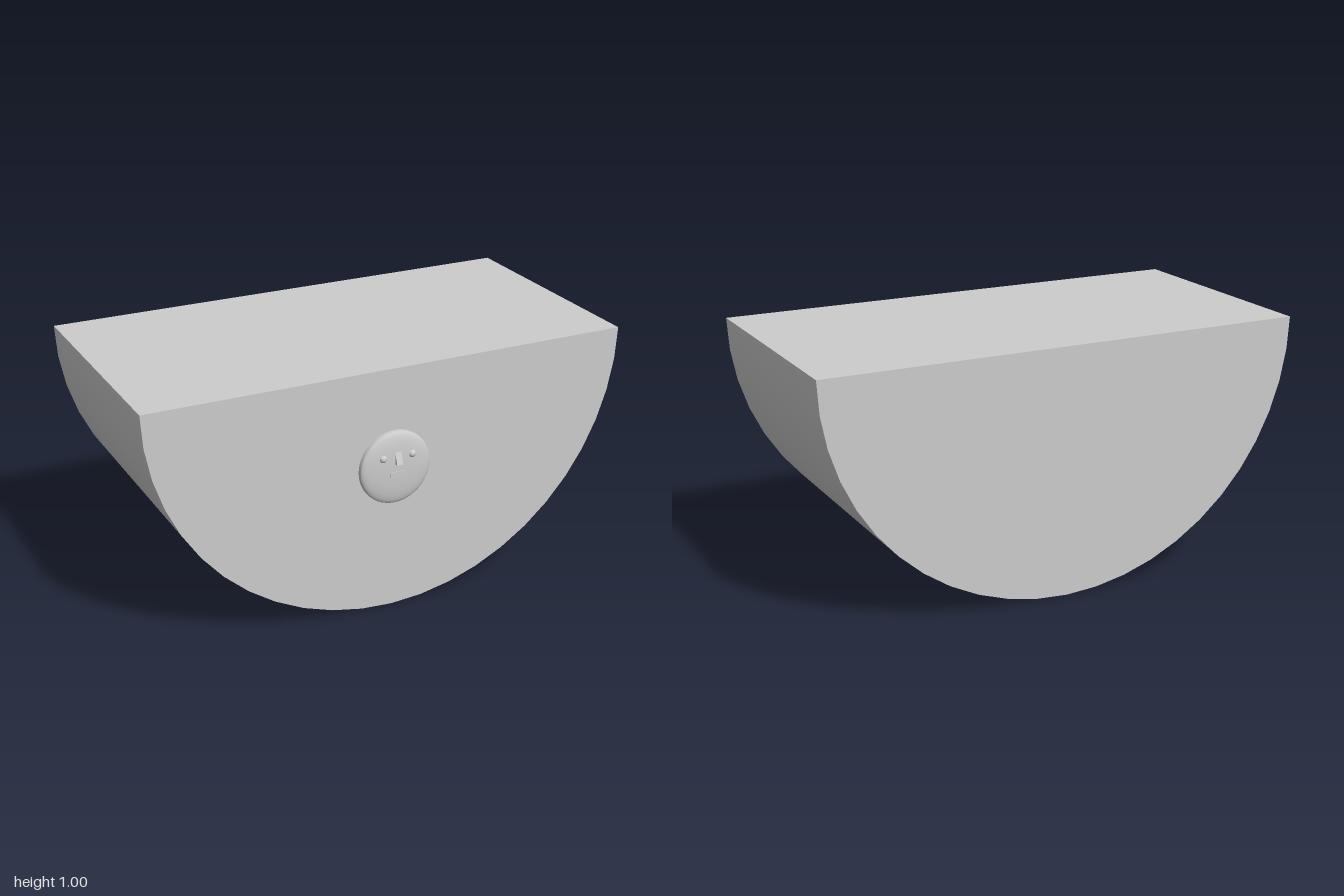
import * as THREE from 'three';

const BACK = -0.527, FRONT = 0.473;

export function createModel() {
  const model = new THREE.Group();
  const material = new THREE.MeshStandardMaterial({ color: 0xcccccc });
  const add = (name, geometry, parent) => {
    const mesh = new THREE.Mesh(geometry, material);
    mesh.name = name;
    parent.add(mesh);
    return mesh;
  };

  // Half-cylinder body: smooth curved shell, flat top and two flat ends
  const body = new THREE.Group();
  body.name = 'body';
  model.add(body);
  const depth = FRONT - BACK, middle = (FRONT + BACK) / 2;

  const shell = new THREE.CylinderGeometry(1, 1, depth, 24, 1, true, -Math.PI / 2, Math.PI);
  shell.rotateX(Math.PI / 2); // the arc now hangs below the axis
  add('curvedShell', shell, body).position.set(0, 1, middle);

  const top = new THREE.PlaneGeometry(2, depth).rotateX(-Math.PI / 2);
  add('flatTop', top, body).position.set(0, 1, middle);

  const end = new THREE.CircleGeometry(1, 24, Math.PI, Math.PI);
  add('frontEnd', end, body).position.set(0, 1, FRONT);
  const rear = add('backEnd', end, body);
  rear.position.set(0, 1, BACK);
  rear.rotation.y = Math.PI;

  // Small round face on the front end
  const face = new THREE.Group();
  face.name = 'face';
  face.position.set(0, 0.602, FRONT);
  model.add(face);

  // Domed disc with a rounded rim
  const profile = [
    [0.149, 0], [0.149, 0.013], [0.147, 0.018], [0.142, 0.022], [0.132, 0.027],
    [0.115, 0.031], [0.09, 0.035], [0.05, 0.038], [0, 0.039],
  ].map(([r, z]) => new THREE.Vector2(r, z));
  add('faceDisc', new THREE.LatheGeometry(profile, 48).rotateX(Math.PI / 2), face);

  // Eyes
  for (const side of [-1, 1]) {
    const eye = add(side > 0 ? 'leftEye' : 'rightEye', new THREE.SphereGeometry(0.016, 20, 14), face);
    eye.position.set(side * 0.062, 0.053, 0.03);
  }

  // Wedge nose, drawn from the side (z, y) and extruded across x
  const noseSide = new THREE.Shape([
    new THREE.Vector2(0.02, 0.08), new THREE.Vector2(0.035, 0.076),
    new THREE.Vector2(0.054, 0.025), new THREE.Vector2(0.02, 0.025),
  ]);
  const nose = new THREE.ExtrudeGeometry(noseSide, { depth: 0.026, bevelEnabled: false });
  nose.translate(0, 0, -0.013).rotateY(-Math.PI / 2);
  // the turn sends the profile's x axis to +z
  add('nose', nose, face);

  // Pill-shaped mouth
  const pill = new THREE.Shape();
  pill.absarc(0.024, 0, 0.012, -Math.PI / 2, Math.PI / 2);
  pill.absarc(-0.024, 0, 0.012, Math.PI / 2, Math.PI * 1.5);
  const mouth = new THREE.ExtrudeGeometry(pill, { depth: 0.02, bevelEnabled: false, curveSegments: 10 });
  add('mouth', mouth, face).position.set(0, -0.019, 0.022);

  return model;
}
